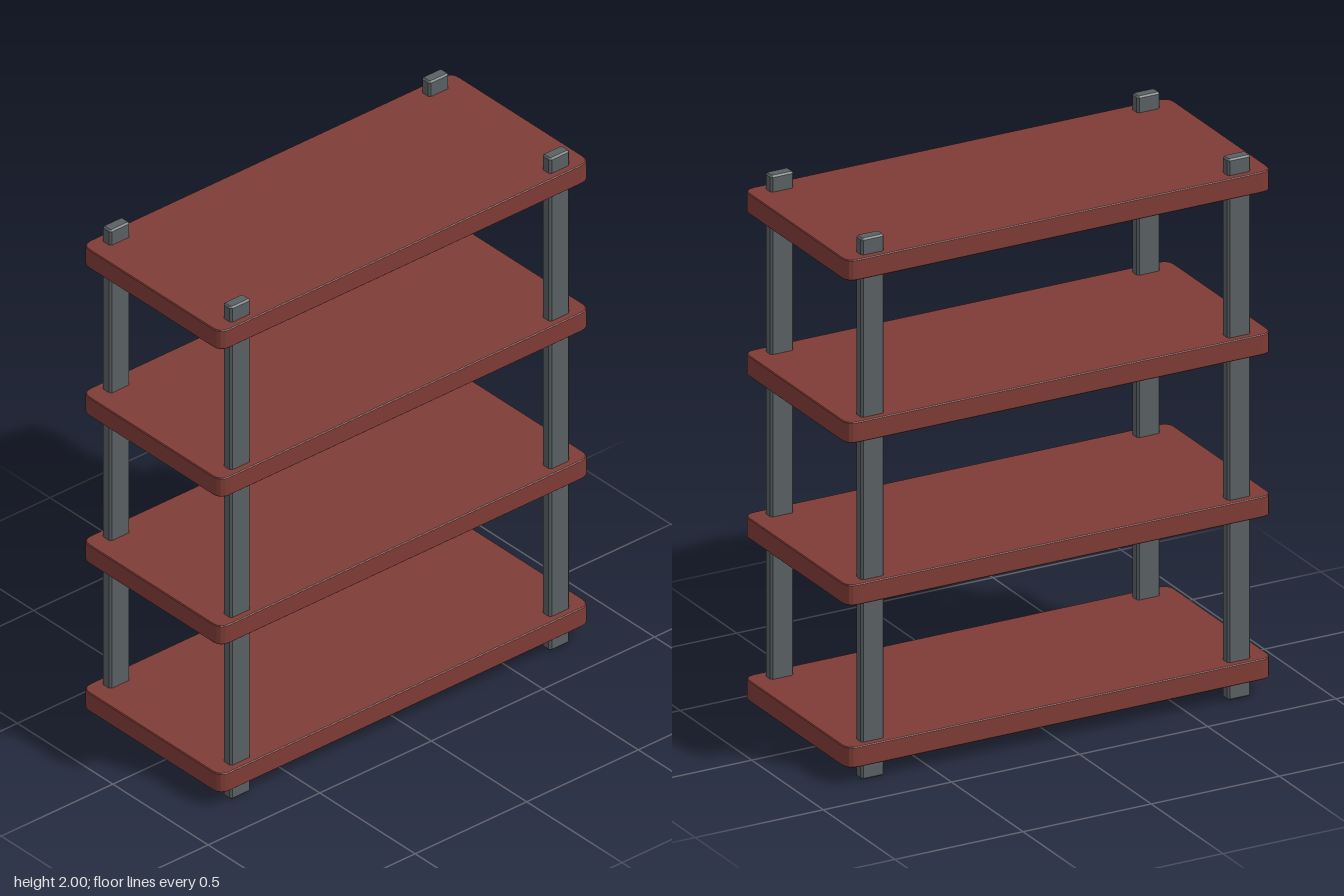
import * as THREE from 'three';

// Slab with rounded plan corners and a fine bevel, centred on the origin, thickness along y
function slab(w, h, d, radius, bevel, curveSegments) {
  const x = w / 2 - bevel, z = d / 2 - bevel, r = radius;
  const s = new THREE.Shape();
  s.moveTo(-x + r, -z);
  s.lineTo(x - r, -z);
  s.quadraticCurveTo(x, -z, x, -z + r);
  s.lineTo(x, z - r);
  s.quadraticCurveTo(x, z, x - r, z);
  s.lineTo(-x + r, z);
  s.quadraticCurveTo(-x, z, -x, z - r);
  s.lineTo(-x, -z + r);
  s.quadraticCurveTo(-x, -z, -x + r, -z);
  const geo = new THREE.ExtrudeGeometry(s, {
    depth: h - 2 * bevel, bevelEnabled: true, bevelThickness: bevel,
    bevelSize: bevel, bevelSegments: 1, curveSegments,
  });
  geo.translate(0, 0, -(h / 2 - bevel));
  geo.rotateX(-Math.PI / 2);
  return geo;
}

export function createModel() {
  const group = new THREE.Group();
  const wood = new THREE.MeshStandardMaterial({ name: 'red wood', color: 0x7f3c36 });
  const metal = new THREE.MeshStandardMaterial({ name: 'grey metal', color: 0x5a6063 });

  // Four evenly spaced boards
  const boardGeo = slab(1.66, 0.076, 0.73, 0.04, 0.003, 4);
  for (let i = 0; i < 4; i++) {
    const board = new THREE.Mesh(boardGeo, wood);
    board.name = `shelf${i + 1}`;
    board.position.y = 0.102 + i * 0.6;
    group.add(board);
  }

  // Four posts running through the boards near the corners
  const postGeo = slab(0.09, 2, 0.045, 0.004, 0.006, 1);
  for (const [sx, side] of [[1, 'Left'], [-1, 'Right']]) {
    for (const [sz, end] of [[1, 'front'], [-1, 'back']]) {
      const post = new THREE.Mesh(postGeo, metal);
      post.name = `${end}${side}Post`;
      post.position.set(sx * 0.715, 1, sz * 0.316);
      group.add(post);
    }
  }
  return group;
}
